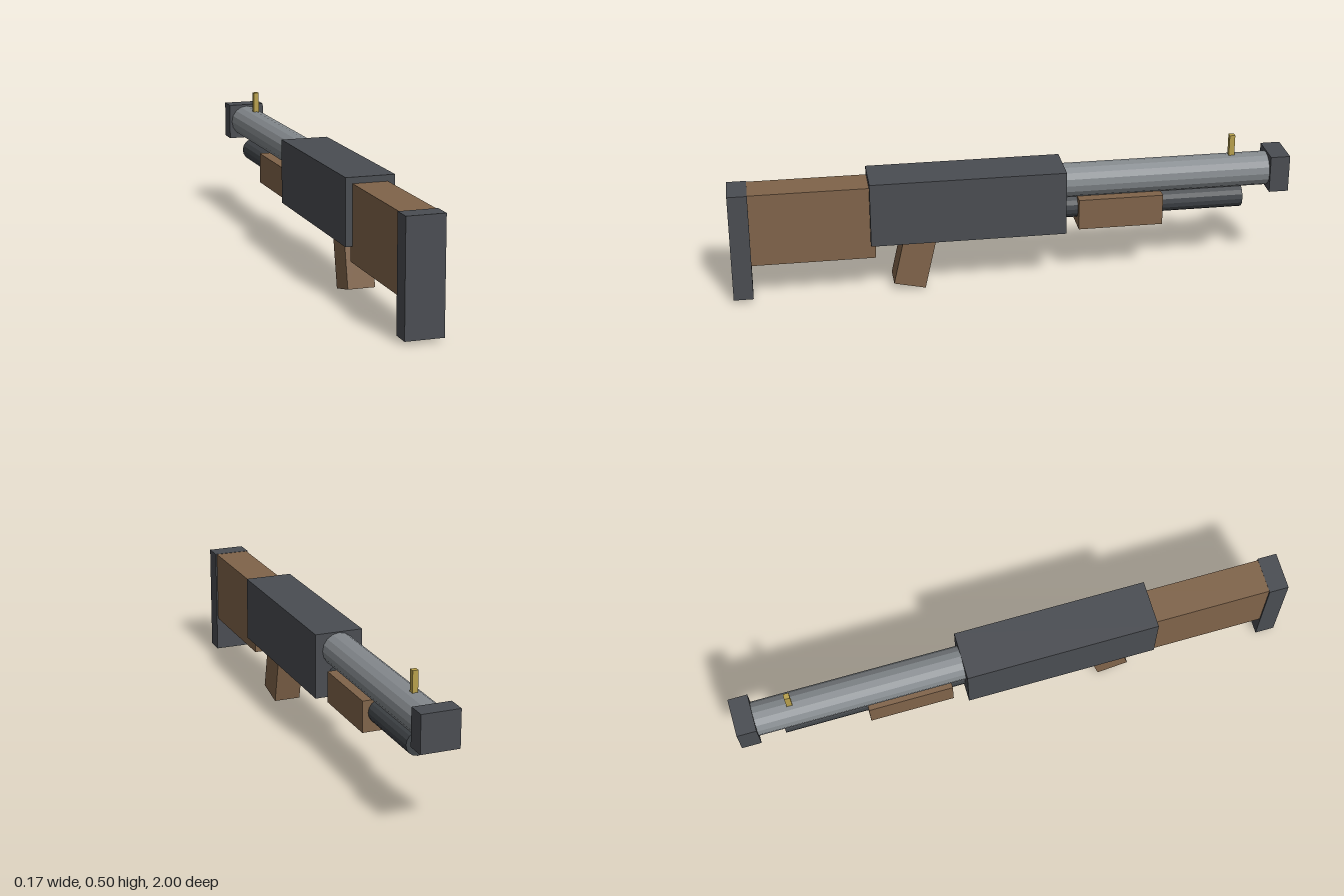
import * as THREE from 'three';

const material = (name, color, flatShading = false) => {
  const m = new THREE.MeshStandardMaterial({ color, flatShading });
  m.name = name;
  return m;
};

export function createModel() {
  const model = new THREE.Group();
  model.name = 'pumpActionGun';

  const darkMetal = material('darkMetal', 0x4a4d52);
  const steel = material('steel', 0x84898d, true);
  const tubeMetal = material('tubeMetal', 0x404448, true);
  const wood = material('wood', 0x80644a);
  const brass = material('brass', 0xb8a04c);

  const add = (name, geometry, mat, x, y, z) => {
    const mesh = new THREE.Mesh(geometry, mat);
    mesh.name = name;
    mesh.position.set(x, y, z);
    model.add(mesh);
    return mesh;
  };

  // Box given by half width and its y and z ranges
  const box = (name, mat, halfX, y0, y1, z0, z1) =>
    add(name, new THREE.BoxGeometry(halfX * 2, y1 - y0, z1 - z0), mat,
      0, (y0 + y1) / 2, (z0 + z1) / 2);

  // Cylinder lying along z
  const rod = (name, mat, radius, y, z0, z1, sides) =>
    add(name, new THREE.CylinderGeometry(radius, radius, z1 - z0, sides).rotateX(Math.PI / 2),
      mat, 0, y, (z0 + z1) / 2);

  // Stock and butt
  box('buttPad', darkMetal, 0.067, 0.012, 0.41, 0.93, 1);
  box('stock', wood, 0.062, 0.14, 0.409, 0.493, 0.95);

  // Body and barrel
  box('receiver', darkMetal, 0.087, 0.196, 0.431, -0.185, 0.51);
  rod('barrel', steel, 0.061, 0.367, -0.95, -0.15, 16);
  rod('magazineTube', tubeMetal, 0.043, 0.267, -0.84, -0.15, 16);
  box('pumpGrip', wood, 0.063, 0.198, 0.311, -0.54, -0.235);
  box('muzzle', darkMetal, 0.069, 0.3, 0.434, -1, -0.93);
  box('frontSight', brass, 0.01, 0.427, 0.503, -0.81, -0.79);

  // Slanted hand grip
  const grip = add('handGrip', new THREE.BoxGeometry(0.098, 0.24, 0.115), wood, 0, 0.13, 0.348);
  grip.rotation.x = -0.22;

  return model;
}
